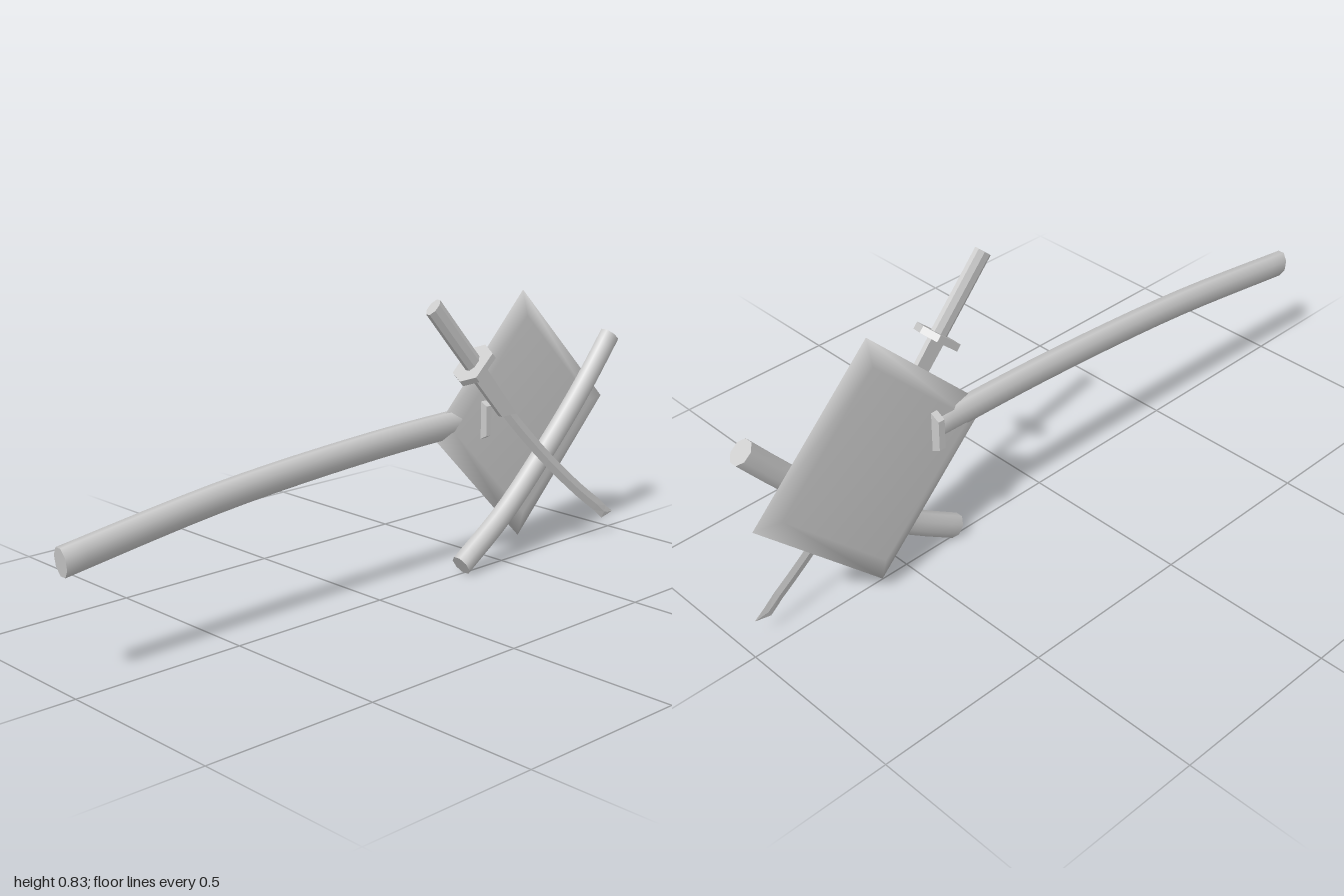
import * as THREE from 'three';

const material = (flat) => new THREE.MeshStandardMaterial({ color: 0xcccccc, flatShading: flat });

// Capped loft along a path in the xy plane. Each section is
// [leftX, leftY, rightX, rightY, halfDepth], left and right of the travel direction.
function loft(sections, sides, flat) {
  const pos = [], idx = [];
  const phase = sides === 4 ? 0 : Math.PI / sides;
  const ring = ([lx, ly, rx, ry, depth]) => {
    for (let j = 0; j < sides; j++) {
      const a = phase + (j / sides) * Math.PI * 2;
      const k = Math.cos(a) / 2 / Math.cos(phase);
      const s = Math.sin(a) * depth / Math.cos(phase);
      pos.push((lx + rx) / 2 + (lx - rx) * k, (ly + ry) / 2 + (ly - ry) * k, s);
    }
  };
  sections.forEach(ring);
  for (let i = 0; i < sections.length - 1; i++) {
    for (let j = 0; j < sides; j++) {
      const a = i * sides + j, b = i * sides + (j + 1) % sides;
      idx.push(a, b, a + sides, b, b + sides, a + sides);
    }
  }
  // end caps with their own corners keep a hard rim
  [sections[0], sections[sections.length - 1]].forEach((section, end) => {
    const base = pos.length / 3;
    ring(section);
    for (let j = 1; j < sides - 1; j++) {
      if (end) idx.push(base, base + j, base + j + 1);
      else idx.push(base, base + j + 1, base + j);
    }
  });
  let g = new THREE.BufferGeometry();
  g.setAttribute('position', new THREE.Float32BufferAttribute(pos, 3));
  g.setIndex(idx);
  if (flat) g = g.toNonIndexed();
  g.computeVertexNormals();
  return g;
}

// Sections of constant width along a smooth curve through the points
function sweep(points, halfWidth, halfDepth, steps) {
  const curve = new THREE.SplineCurve(points.map(([x, y]) => new THREE.Vector2(x, y)));
  const sections = [];
  for (let i = 0; i <= steps; i++) {
    const p = curve.getPoint(i / steps), t = curve.getTangent(i / steps);
    const nx = -t.y * halfWidth, ny = t.x * halfWidth;
    sections.push([p.x + nx, p.y + ny, p.x - nx, p.y - ny, halfDepth]);
  }
  return sections;
}

// Six-sided guard plate, thin along its local x
function guardGeometry() {
  const shape = new THREE.Shape([
    [0, 0.068], [-0.045, 0.044], [-0.045, -0.044], [0, -0.068], [0.045, -0.044], [0.045, 0.044],
  ].map(([x, y]) => new THREE.Vector2(x, y)));
  const g = new THREE.ExtrudeGeometry(shape, { depth: 0.02, bevelEnabled: false });
  g.translate(0, 0, -0.01);
  g.rotateY(Math.PI / 2);
  return g;
}

export function createModel() {
  const model = new THREE.Group();
  const add = (parent, name, geometry, x, y, z, flat) => {
    const mesh = new THREE.Mesh(geometry, material(flat));
    mesh.name = name;
    mesh.position.set(x, y, z);
    parent.add(mesh);
    return mesh;
  };

  // Square board standing on one corner, tapered to a sharp edge
  const profile = [[0, -0.02], [0.3, -0.02], [0.375, 0], [0.3, 0.02], [0, 0.02]]
    .map(([x, y]) => new THREE.Vector2(x, y));
  const board = new THREE.LatheGeometry(profile, 4);
  board.rotateX(Math.PI / 2);
  add(model, 'board', board, 0.615, 0.422, -0.04, false);

  // Long curved scabbard with a guard at its mouth
  const longPath = [[-0.994, 0.332], [-0.5, 0.397], [0, 0.432], [0.43, 0.443]];
  add(model, 'longScabbard', loft(sweep(longPath, 0.038, 0.024, 16), 8, false), 0, 0, -0.045, false);
  add(model, 'longScabbardGuard', guardGeometry(), 0.432, 0.441, -0.043, true);

  // Short curved scabbard across the front of the board
  const shortPath = [[0.321, 0.029], [0.5, 0.15], [0.668, 0.3], [0.83, 0.463], [0.966, 0.622]];
  add(model, 'shortScabbard', loft(sweep(shortPath, 0.033, 0.027, 14), 8, false), 0, 0, 0.005, false);

  // Drawn sword: handle, guard, collar and blade
  const sword = new THREE.Group();
  sword.name = 'sword';
  sword.position.z = 0.043;
  model.add(sword);

  const handlePath = [[0.158, 0.811], [0.24, 0.719], [0.323, 0.627]];
  add(sword, 'handle', loft(sweep(handlePath, 0.027, 0.016, 2), 8, true), 0, 0, 0, true);

  const guard = add(sword, 'guard', guardGeometry(), 0.323, 0.627, 0, true);
  guard.rotation.z = -0.84;

  const collarShape = new THREE.Shape([[0.303, 0.605], [0.435, 0.461], [0.497, 0.461], [0.343, 0.641]]
    .map(([x, y]) => new THREE.Vector2(x, y)));
  const collar = new THREE.ExtrudeGeometry(collarShape, { depth: 0.014, bevelEnabled: false });
  collar.translate(0, 0, -0.007);
  add(sword, 'collar', collar, 0, 0, 0, true);

  // Blade curves gently and ends in a slanted point
  const bladePath = [[0.42, 0.52], [0.5, 0.433], [0.65, 0.292], [0.8, 0.168], [0.91, 0.088]];
  const blade = sweep(bladePath, 0.02, 0.004, 12);
  blade[12] = [0.93, 0.093, 0.912, 0.057, 0.003];
  blade.push([0.962, 0.07, 0.958, 0.067, 0.001]);
  add(sword, 'blade', loft(blade, 4, true), 0, 0, 0, true);

  return model;
}
